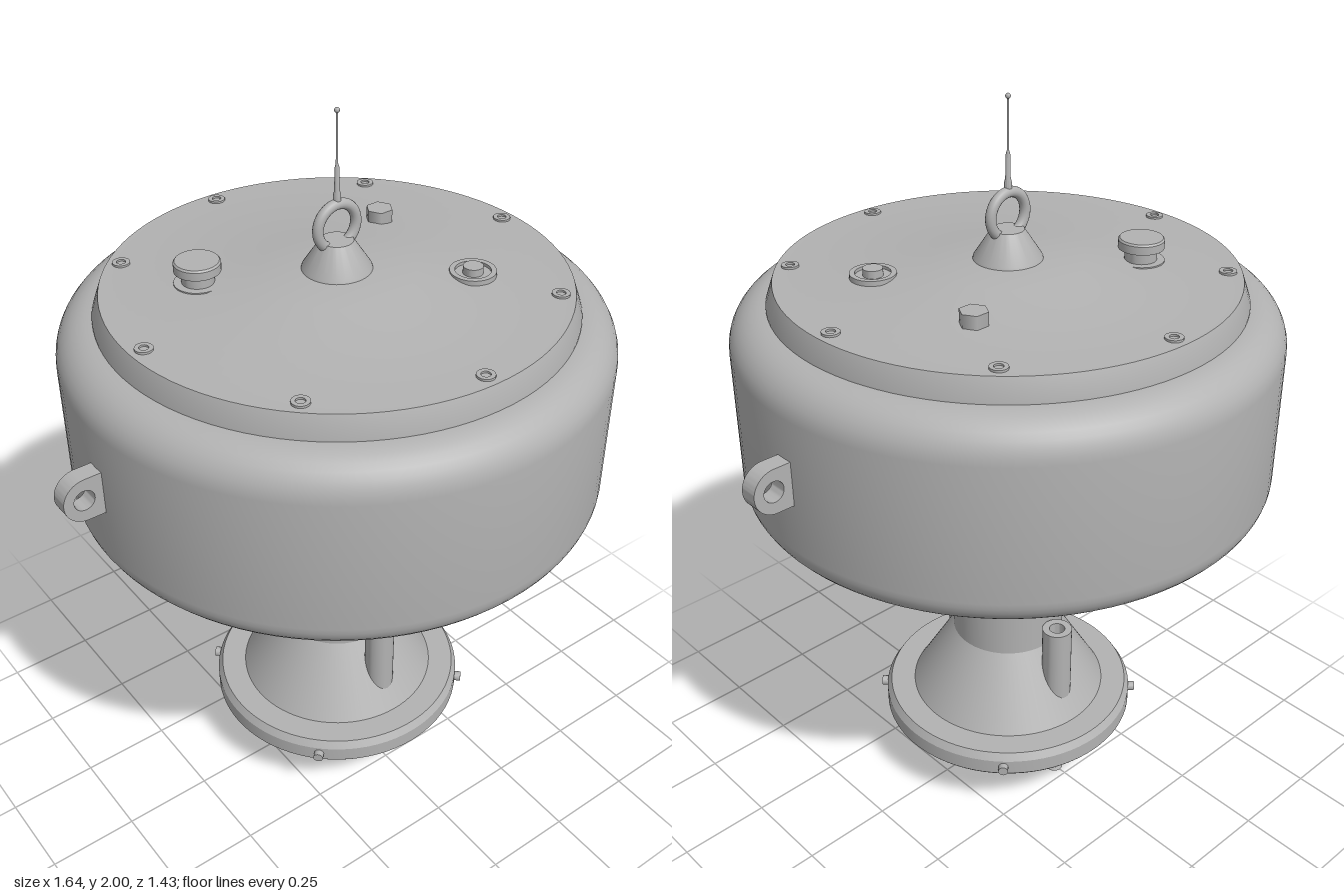
import * as THREE from 'three';
import { toCreasedNormals } from 'three/addons/utils/BufferGeometryUtils.js';

export function createModel() {
  const model = new THREE.Group();
  model.name = 'instrumentBuoy';
  const grey = new THREE.MeshStandardMaterial({ color: 0xb2b2b2, side: THREE.DoubleSide });
  grey.name = 'plainGrey';

  const add = (name, geometry, x = 0, y = 0, z = 0, parent = model) => {
    const mesh = new THREE.Mesh(geometry, grey);
    mesh.name = name;
    mesh.position.set(x, y, z);
    parent.add(mesh);
    return mesh;
  };
  // profile runs from the bottom, up the outside, to the top
  const lathe = (points, segments = 48, crease = 0.5) => toCreasedNormals(
    new THREE.LatheGeometry(points.map(([r, y]) => new THREE.Vector2(r, y)), segments), crease);
  const rod = (rTop, rBottom, y0, y1, sides = 20) =>
    new THREE.CylinderGeometry(rTop, rBottom, y1 - y0, sides).translate(0, (y0 + y1) / 2, 0);
  const arc = (cx, cy, r, from, to, n = 8) => Array.from({ length: n + 1 }, (_, i) => {
    const a = from + (to - from) * i / n;
    return [cx + r * Math.cos(a), cy + r * Math.sin(a)];
  });
  const circle = (x, y, r) => new THREE.Path().absarc(x, y, r, 0, Math.PI * 2, true);

  // Float body, with rounded shoulders
  add('floatHull', lathe([[0, 0.945],
    ...arc(0.635, 1.025, 0.08, -Math.PI / 2, 0),
    ...arc(0.615, 1.39, 0.1, 0, Math.PI / 2), [0, 1.49]], 96));
  add('lid', lathe([[0.615, 1.485], [0.615, 1.495], [0.595, 1.55],
    [0.33, 1.553], [0.2, 1.578], [0, 1.588]], 96));
  add('hullCollar', lathe([[0, 0.89], [0.222, 0.89], [0.278, 0.947]], 64));

  // Lid bolts with sockets
  for (let i = 0; i < 8; i++) {
    const a = i * Math.PI / 4;
    add('lidBolt', lathe([[0.023, 1.548], [0.023, 1.556], [0.012, 1.556], [0.012, 1.551], [0, 1.551]], 16),
      0.557 * Math.cos(a), 0, 0.557 * Math.sin(a));
  }

  // Lid fittings
  add('ventCap', lathe([[0.062, 1.55], [0.062, 1.556], [0.042, 1.556], [0.042, 1.588], [0.06, 1.588],
    [0.06, 1.61], [0.056, 1.615], [0, 1.615]], 32), -0.29, 0, -0.19);
  add('hexPlug', rod(0.037, 0.037, 1.55, 1.588, 6), 0.285, 0, -0.19).rotation.y = Math.PI / 6;
  add('port', lathe([[0.06, 1.55], [0.06, 1.566], [0.046, 1.566], [0.046, 1.558], [0.026, 1.558],
    [0.026, 1.578], [0, 1.578]], 32), 0.285, 0, 0.19);

  // Lifting eye and antenna
  add('eyeBase', lathe([[0.092, 1.575], [0.088, 1.59], [0.042, 1.66], [0, 1.66]]));
  add('liftingEye', new THREE.TorusGeometry(0.058, 0.014, 16, 48), 0, 1.697, 0);
  add('antenna', lathe([[0.01, 1.76], [0.01, 1.78], [0.007, 1.79], [0.006, 1.85], [0.003, 1.86],
    [0.0025, 1.99]], 12));
  add('antennaTip', new THREE.SphereGeometry(0.007, 12, 8), 0, 1.993, 0);

  // Side lugs, mirrored
  for (const side of [-1, 1]) {
    const shape = new THREE.Shape();
    shape.moveTo(0.69, -0.06);
    shape.lineTo(0.76, -0.06);
    shape.absarc(0.76, 0, 0.06, -Math.PI / 2, Math.PI / 2, false);
    shape.lineTo(0.69, 0.06);
    shape.holes.push(circle(0.765, 0, 0.028));
    const lug = new THREE.ExtrudeGeometry(shape, { depth: 0.05, bevelEnabled: false, curveSegments: 20 });
    lug.translate(0, 0, -0.025);
    add('sideLug', toCreasedNormals(lug, 0.5), 0, 1.22, 0).rotation.y = side > 0 ? 0 : Math.PI;
  }

  // Stem with hollow flared skirt
  add('stem', rod(0.16, 0.16, 0.43, 0.9, 64));
  add('flaredSkirt', lathe([[0, 0.4], [0.14, 0.4], [0.255, 0.235], [0.285, 0.17], [0.305, 0.17], [0.305, 0.166],
    [0.36, 0.166], [0.365, 0.172], [0.365, 0.215], [0.352, 0.236], [0.282, 0.236], [0.16, 0.437]], 80, 0.35));
  for (let i = 0; i < 4; i++) {
    const a = Math.PI / 4 + i * Math.PI / 2;
    const screw = add('flangeScrew', new THREE.CylinderGeometry(0.014, 0.014, 0.03, 16),
      0.368 * Math.cos(a), 0.195, 0.368 * Math.sin(a));
    screw.rotation.set(0, -a, Math.PI / 2);
  }

  // Sensor housing: four curved panels, each stretched around a round opening
  const panel = () => {
    const g = new THREE.PlaneGeometry(1, 1, 48, 6);
    const p = g.attributes.position;
    for (let i = 0; i < p.count; i++) {
      const t = -(p.getX(i) + 0.5) * Math.PI * 2, k = p.getY(i) + 0.5;
      const c = Math.cos(t), s = Math.sin(t), m = Math.max(Math.abs(c), Math.abs(s));
      const w = THREE.MathUtils.lerp(0.042 * c, 0.15 * Math.PI / 4 * c / m, k);
      const edge = s < 0 ? 0.08 : 0.26;
      const y = 0.145 + THREE.MathUtils.lerp(0.042 * s, edge * s / m, k);
      p.setXYZ(i, 0.15 * Math.sin(w / 0.15), y, 0.15 * Math.cos(w / 0.15));
    }
    g.computeVertexNormals();
    return g;
  };
  for (let i = 0; i < 4; i++) add('housingWall', panel()).rotation.y = i * Math.PI / 2;
  add('housingRim', lathe([[0.14, 0.05], [0.162, 0.05], [0.162, 0.065], [0.15, 0.09]], 64));
  const plate = new THREE.Shape().absarc(0, 0, 0.155, 0, Math.PI * 2, false);
  for (let row = -2; row <= 2; row++) {
    const n = row % 2 ? 4 : 3;
    for (let i = 0; i < n; i++) {
      plate.holes.push(circle((i - (n - 1) / 2) * 0.04, row * 0.034, 0.009));
    }
  }
  const grille = new THREE.ExtrudeGeometry(plate, { depth: 0.012, bevelEnabled: false, curveSegments: 24 });
  add('perforatedPlate', grille.rotateX(-Math.PI / 2), 0, 0.054, 0);

  // Guard ring and its spokes
  add('guardRing', new THREE.TorusGeometry(0.19, 0.011, 12, 72).rotateX(Math.PI / 2), 0, 0.044, 0);
  for (let i = 0; i < 4; i++) {
    const a = Math.PI / 4 + i * Math.PI / 2;
    add('guardSpoke', new THREE.BoxGeometry(0.06, 0.012, 0.02), 0.168 * Math.cos(a), 0.052, 0.168 * Math.sin(a))
      .rotation.y = -a;
  }

  // Hollow guide pipes front and back
  for (const z of [-0.205, 0.205]) {
    add('guidePipe', lathe([[0.042, 0.29], [0.042, 0.52], [0.022, 0.52], [0.022, 0.43], [0, 0.43]], 32), 0, 0, z);
    add('pipeFitting', lathe([[0, 0.125], [0.026, 0.125], [0.032, 0.132], [0.032, 0.32]], 24), 0, 0, z);
  }
  add('frontProbe', lathe([[0, 0.003], [0.01, 0.003], [0.01, 0.13]], 16), 0, 0, 0.205);

  // Rear sensor: a stem ending in a slotted cage
  const sensor = new THREE.Group();
  sensor.name = 'rearSensor';
  sensor.position.z = -0.205;
  model.add(sensor);
  add('sensorStem', rod(0.019, 0.019, 0.06, 0.13), 0, 0, 0, sensor);
  add('sensorBase', rod(0.018, 0.025, 0, 0.016), 0, 0, 0, sensor);
  for (let i = 0; i < 4; i++) {
    const a = Math.PI / 4 + i * Math.PI / 2;
    add('cageBar', rod(0.006, 0.006, 0.01, 0.065, 8), 0.017 * Math.cos(a), 0, 0.017 * Math.sin(a), sensor);
  }
  return model;
}
